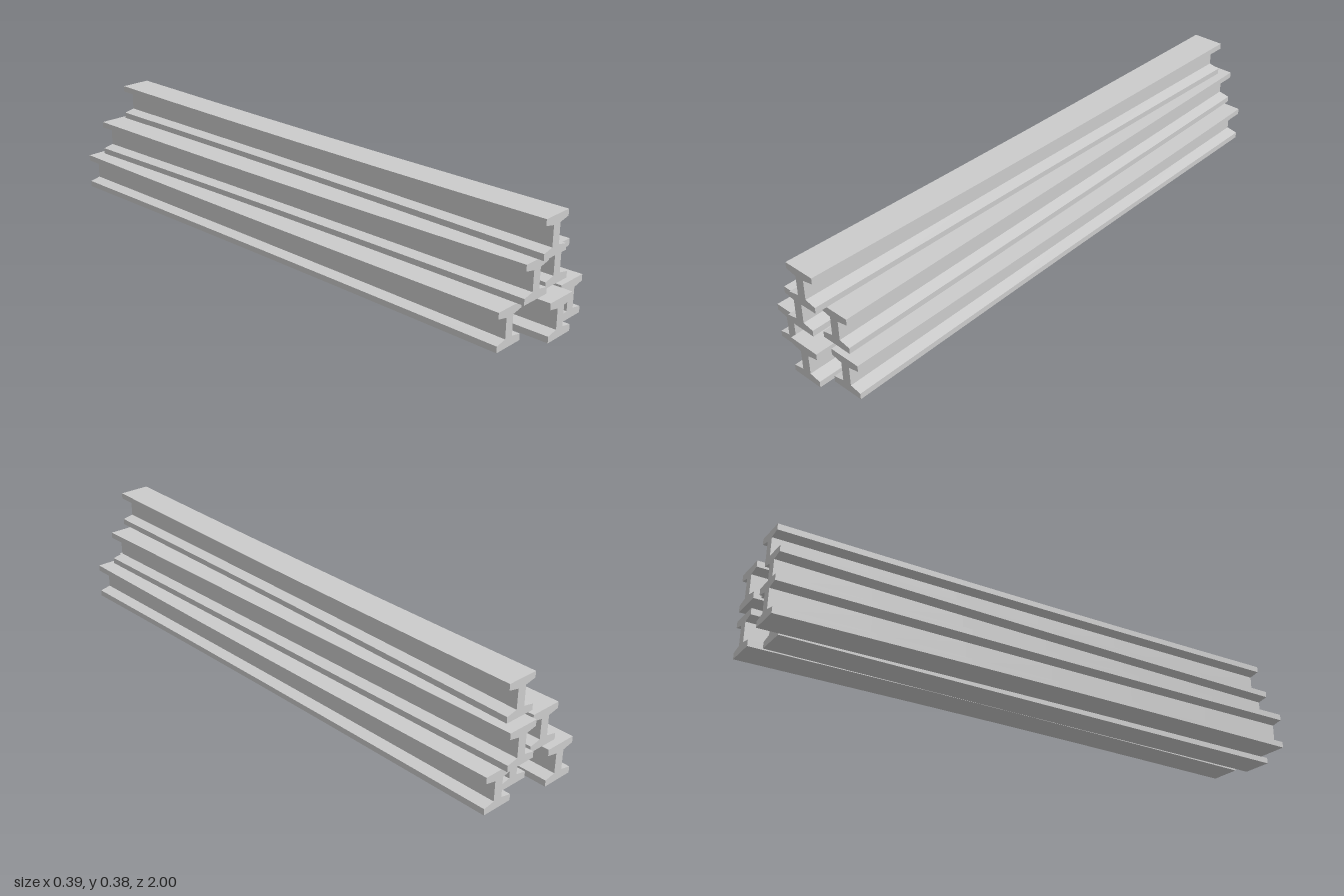
import * as THREE from 'three';

const W = 0.056, H = 0.126, WEB = 0.0165, TIP = 0.021, ROOT = 0.029;

// I-beam cross-section with tapered flanges, standing on y = 0
function beamShape() {
  const right = [[W, 0], [W, TIP], [WEB, ROOT], [WEB, H - ROOT], [W, H - TIP], [W, H]];
  const left = right.map(([x, y]) => [-x, y]).reverse();
  return new THREE.Shape([...right, ...left].map(([x, y]) => new THREE.Vector2(x, y)));
}

// One beam running from (xBack, zBack) to (xFront, zFront), slightly pinched at mid length
function beamGeometry({ xFront, zFront, xBack, zBack, pinch }) {
  const geo = new THREE.ExtrudeGeometry(beamShape(), { depth: 1, steps: 6, bevelEnabled: false });
  const p = geo.attributes.position;
  for (let i = 0; i < p.count; i++) {
    const t = p.getZ(i);
    const squash = 1 - pinch * Math.sin(Math.PI * t);
    p.setXYZ(i,
      p.getX(i) + THREE.MathUtils.lerp(xBack, xFront, t),
      H / 2 + (p.getY(i) - H / 2) * squash,
      THREE.MathUtils.lerp(zBack, zFront, t));
  }
  geo.computeVertexNormals();
  return geo;
}

export function createModel() {
  const group = new THREE.Group();
  group.name = 'beamStack';
  const material = new THREE.MeshStandardMaterial({ color: 0xcccccc, flatShading: true });

  // Three layers, from the ground up
  const beams = [
    { name: 'bottomRightBeam', layer: 0, xFront: -0.139, zFront: 0.93, xBack: -0.107, zBack: -1, pinch: 0.06 },
    { name: 'bottomMiddleBeam', layer: 0, xFront: 0.012, zFront: 1, xBack: 0.012, zBack: -0.93, pinch: 0 },
    { name: 'bottomLeftBeam', layer: 0, xFront: 0.137, zFront: 0.955, xBack: 0.134, zBack: -0.975, pinch: 0.08 },
    { name: 'middleRightBeam', layer: 1, xFront: -0.054, zFront: 0.955, xBack: -0.054, zBack: -0.975, pinch: 0.08 },
    { name: 'middleLeftBeam', layer: 1, xFront: 0.082, zFront: 0.935, xBack: 0.071, zBack: -0.995, pinch: 0 },
    { name: 'topBeam', layer: 2, xFront: -0.001, zFront: 0.975, xBack: 0.04, zBack: -0.955, pinch: 0.08 },
  ];
  for (const beam of beams) {
    const mesh = new THREE.Mesh(beamGeometry(beam), material);
    mesh.name = beam.name;
    mesh.position.y = beam.layer * 0.1265;
    group.add(mesh);
  }
  return group;
}
